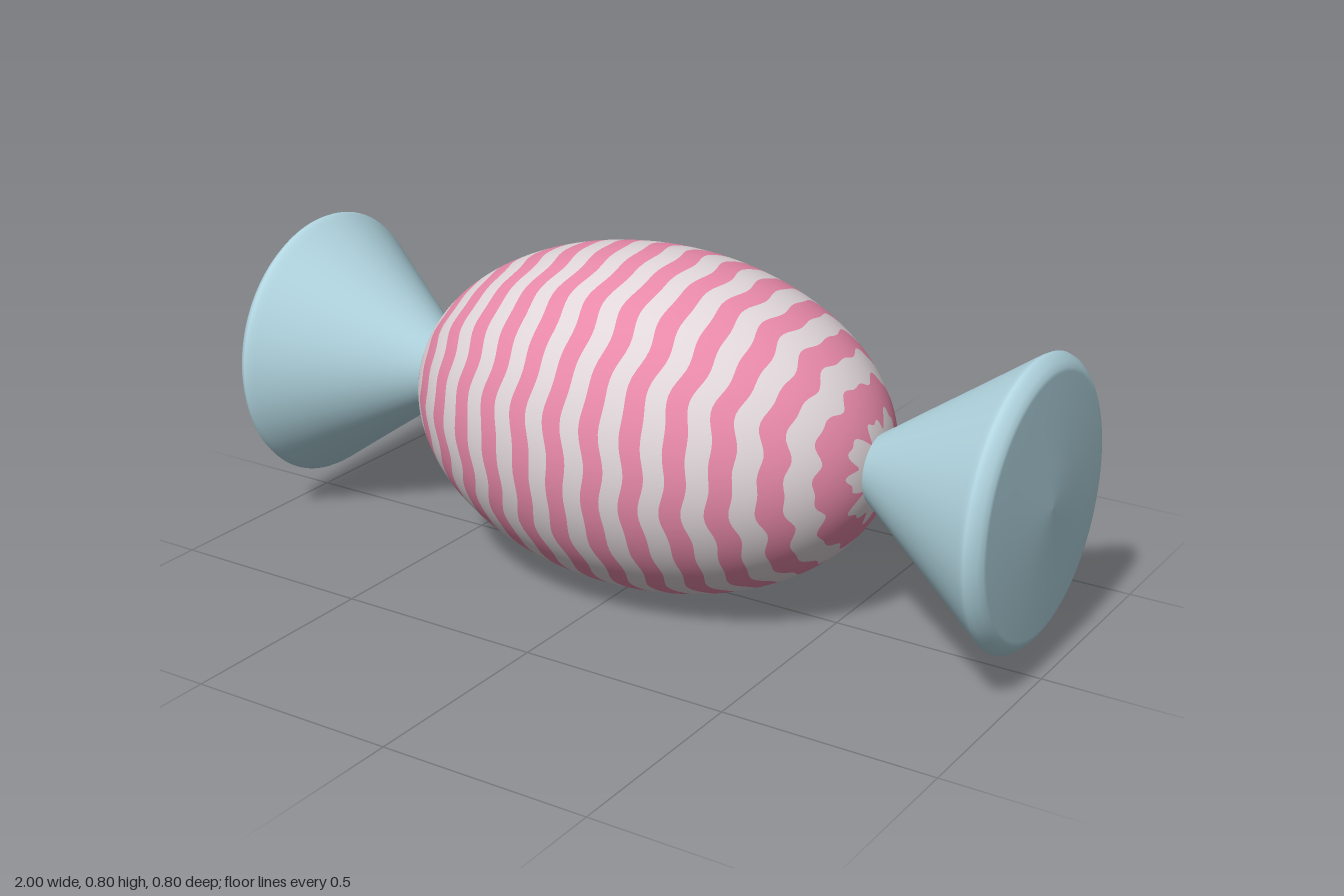
import * as THREE from 'three';

const HALF = 0.605, RADIUS = 0.398, STRIPE = 0.0465, CENTER_Y = 0.402;

// Wavy stripe edge: angle along the ellipsoid for edge j at turn t
function edgeAngle(j, t) {
  const wobble = 0.006 * Math.sin(9 * t + j * 0.25) + 0.004 * Math.sin(17 * t + 1.3 - j * 0.2)
    + 0.004 * Math.sin(4 * t + 0.6);
  const x = (j + 0.5) * STRIPE + wobble;
  return Math.asin(THREE.MathUtils.clamp(x / HALF, -1, 1));
}

// One band of the ellipsoid between two wavy edges
function bandGeometry(j0, j1) {
  const around = 144, along = 6, pos = [], nor = [], idx = [];
  const n = new THREE.Vector3();
  for (let j = 0; j <= around; j++) {
    const t = (j / around) * Math.PI * 2;
    const from = j0 === null ? -Math.PI / 2 : edgeAngle(j0, t);
    const to = j1 === null ? Math.PI / 2 : edgeAngle(j1, t);
    for (let i = 0; i <= along; i++) {
      const p = from + (to - from) * i / along;
      const s = Math.sin(p), c = Math.cos(p);
      pos.push(HALF * s, RADIUS * c * Math.cos(t), RADIUS * c * Math.sin(t));
      n.set(s / HALF, c * Math.cos(t) / RADIUS, c * Math.sin(t) / RADIUS).normalize();
      nor.push(n.x, n.y, n.z);
      if (i < along && j < around) {
        const a = j * (along + 1) + i, b = a + along + 1;
        idx.push(a, b, a + 1, b, b + 1, a + 1);
      }
    }
  }
  const g = new THREE.BufferGeometry();
  g.setAttribute('position', new THREE.Float32BufferAttribute(pos, 3));
  g.setAttribute('normal', new THREE.Float32BufferAttribute(nor, 3));
  g.setIndex(idx);
  return g;
}

export function createModel() {
  const mat = (name, color) => {
    const m = new THREE.MeshStandardMaterial({ color });
    m.name = name;
    return m;
  };
  const pink = mat('pink', 0xe889a9);
  const cream = mat('pale grey', 0xe0d6d9);
  const blue = mat('light blue', 0xb2d6e1);

  const model = new THREE.Group();
  model.name = 'wrappedCandy';

  // Striped ellipsoid body, closed by a plain cap at each end
  const body = new THREE.Group();
  body.name = 'body';
  body.position.y = CENTER_Y;
  const last = 12;
  for (let j = -last - 2; j <= last; j++) {
    const start = j === -last - 2 ? null : j, end = j === last ? null : j + 1;
    const isPink = Math.abs(j) % 2 === 1;
    const band = new THREE.Mesh(bandGeometry(start, end), isPink ? pink : cream);
    band.name = isPink ? 'pinkStripe' : 'paleStripe';
    body.add(band);
  }
  model.add(body);

  // Flared wrapper twists with a rounded rim and a nearly flat end
  const profile = [
    [0.56, 0.058], [0.6, 0.085], [0.7, 0.155], [0.82, 0.238], [0.93, 0.315], [0.942, 0.323],
    [0.952, 0.328], [0.962, 0.324], [0.976, 0.311], [0.983, 0.299], [0.985, 0.29],
    [0.989, 0.2], [0.995, 0.1], [1, 0],
  ].map(([x, r]) => new THREE.Vector2(r, x));
  const flare = new THREE.LatheGeometry(profile, 96);
  for (const side of [1, -1]) {
    const twist = new THREE.Mesh(flare, blue);
    twist.name = side > 0 ? 'leftTwist' : 'rightTwist';
    twist.rotation.z = -side * Math.PI / 2;
    twist.position.y = CENTER_Y;
    model.add(twist);
  }
  return model;
}
